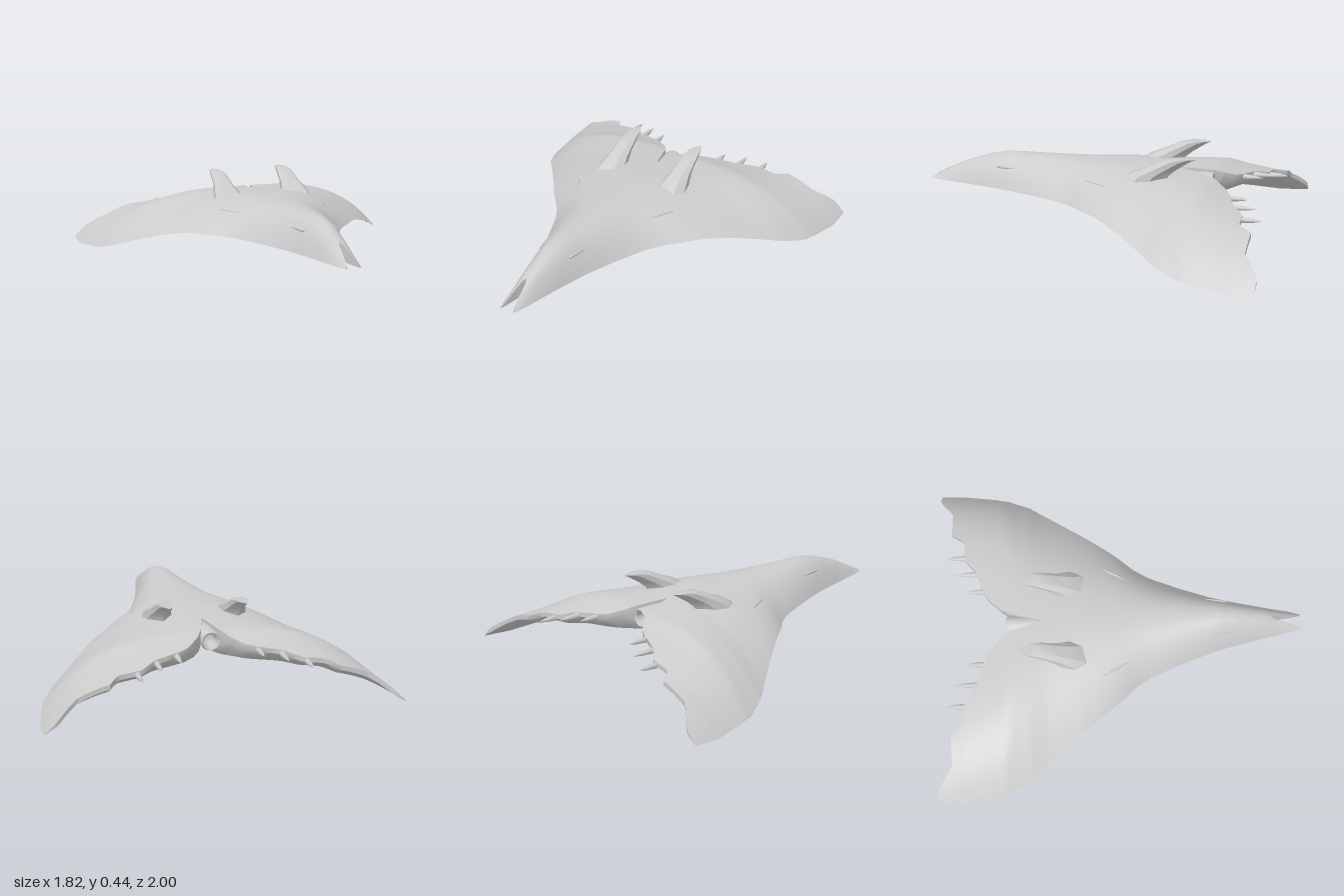
import * as THREE from 'three';
import { toCreasedNormals, mergeVertices } from 'three/addons/utils/BufferGeometryUtils.js';

const material = new THREE.MeshStandardMaterial({ color: 0xcccccc, side: THREE.DoubleSide });

// Linear interpolation through [key, value] pairs with rising keys
function interp(pts, k) {
  if (k <= pts[0][0]) return pts[0][1];
  for (let i = 1; i < pts.length; i++) {
    const [k0, v0] = pts[i - 1], [k1, v1] = pts[i];
    if (k <= k1) return v0 + (v1 - v0) * (k - k0) / (k1 - k0);
  }
  return pts[pts.length - 1][1];
}

// Planform: leading and trailing edge as z over half span x
const leading = [[0, 0.83], [0.012, 0.85], [0.022, 0.93], [0.032, 0.99], [0.042, 1], [0.06, 0.94], [0.1, 0.75], [0.15, 0.54],
  [0.22, 0.34], [0.29, 0.17], [0.34, 0.09], [0.42, 0], [0.55, -0.17], [0.68, -0.34], [0.8, -0.49], [0.87, -0.63], [0.905, -0.83], [0.912, -0.87]];
const trailing = [[0, -0.42], [0.05, -0.59], [0.08, -0.64], [0.15, -0.71], [0.2, -0.735], [0.33, -0.78], [0.41, -0.845],
  [0.53, -0.85], [0.58, -0.92], [0.74, -0.92], [0.85, -1], [0.912, -1]];
const halfWidth = leading.slice(4).map(([x, z]) => [z, x]).reverse();

// Heights over z: centre ridge, outer edge, and roundness of the top
const ridge = [[-1, 0.22], [-0.85, 0.245], [-0.7, 0.29], [-0.6, 0.33], [-0.45, 0.345], [-0.2, 0.365], [0.55, 0.365],
  [0.65, 0.345], [0.8, 0.295], [0.95, 0.225], [1, 0.205]];
const edge = [[-1, 0.012], [-0.85, 0.002], [-0.6, 0.027], [-0.47, 0.065], [-0.34, 0.115], [-0.22, 0.155], [-0.12, 0.178], [-0.05, 0.185]];
const roundness = [[-0.95, 5], [-0.4, 2.5], [-0.2, 2.2]];

const spread = (x, z) => Math.min(1, x / interp(halfWidth, z));
function topY(x, z) {
  const e = interp(edge, z);
  return e + (interp(ridge, z) - e) * (1 - spread(x, z) ** interp(roundness, z));
}
function bottomY(x, z) {
  const e = interp(edge, z);
  const flat = e + (0.185 - e) * (1 - spread(x, z) ** 3.5);
  // the underside climbs to a thin rear lip
  const lip = topY(x, z) - 0.025 - 0.1 * Math.max(0, 1 - x / 0.1);
  const k = Math.max(0, 1 - (z - interp(trailing, x)) / 0.09);
  return Math.min(topY(x, z), flat + (Math.max(flat, lip) - flat) * k * k);
}

// Skin a list of closed rings of equal length
function skin(rings, capEnds) {
  const n = rings[0].length, index = [];
  for (let i = 0; i < rings.length - 1; i++) {
    for (let j = 0; j < n; j++) {
      const a = i * n + j, b = i * n + (j + 1) % n, c = b + n, d = a + n;
      index.push(a, d, c, a, c, b);
    }
  }
  if (capEnds) {
    const last = (rings.length - 1) * n;
    for (let j = 1; j < n - 1; j++) index.push(last, last + j + 1, last + j);
  }
  const g = new THREE.BufferGeometry();
  g.setAttribute('position', new THREE.Float32BufferAttribute(rings.flat(2), 3));
  g.setIndex(index);
  return g;
}

function hullGeometry() {
  const half = [0, 0.012, 0.022, 0.032, 0.042, 0.05, 0.06, 0.08];
  for (let x = 0.1; x < 0.9; x += 0.02) half.push(x);
  half.push(0.905, 0.912);
  const xs = [...half.slice(1).reverse().map(x => -x), ...half];
  const steps = 40;
  const rings = xs.map(sx => {
    const x = Math.abs(sx), z0 = interp(leading, x), z1 = interp(trailing, x);
    const upper = [], lower = [];
    for (let i = 0; i <= steps; i++) {
      const z = z0 + (z1 - z0) * i / steps;
      upper.push([sx, topY(x, z), z]);
      lower.unshift([sx, bottomY(x, z), z]);
    }
    return [...upper, ...lower];
  });
  return toCreasedNormals(mergeVertices(skin(rings), 1e-4), 0.7);
}

// Swept fin: stacked sections given as height, front z, rear z, half width
function finGeometry() {
  const sections = [[0.28, -0.13, -0.38, 0.09], [0.35, -0.2, -0.41, 0.075], [0.385, -0.28, -0.45, 0.055],
    [0.435, -0.385, -0.525, 0.043], [0.448, -0.44, -0.555, 0.034]];
  const outline = [[0.6, 0], [1, 0.3], [0.8, 0.65], [0, 1], [-0.8, 0.65], [-1, 0.3], [-0.6, 0]];
  const rings = sections.map(([y, front, rear, w]) => outline.map(([u, t]) => [u * w, y, front + (rear - front) * t]));
  return toCreasedNormals(skin(rings, true), 0.5);
}

export function createModel() {
  const model = new THREE.Group();
  const add = (name, geometry, x = 0, y = 0, z = 0) => {
    const mesh = new THREE.Mesh(geometry, material);
    mesh.name = name;
    mesh.position.set(x, y, z);
    model.add(mesh);
    return mesh;
  };

  add('hull', hullGeometry());

  // Hollow tail nozzle
  const profile = [[0.042, 0], [0.05, 0.12], [0.052, 0.27], [0.046, 0.285], [0.036, 0.28], [0.03, 0.2], [0, 0.19]]
    .map(p => new THREE.Vector2(...p));
  add('tailNozzle', toCreasedNormals(new THREE.LatheGeometry(profile, 16).rotateX(-Math.PI / 2), 0.7), 0, 0.28, -0.325);

  const fin = finGeometry();
  const spikeProfile = [[0, -0.06], [0.014, -0.03], [0.016, 0.01], [0.011, 0.06], [0, 0.105]].map(p => new THREE.Vector2(...p));
  const spike = new THREE.LatheGeometry(spikeProfile, 8).rotateX(-Math.PI / 2);
  const brow = new THREE.SphereGeometry(1, 10, 6).scale(0.007, 0.009, 0.08);

  for (const side of [-1, 1]) {
    const label = side > 0 ? 'left' : 'right';
    add(label + 'Fin', fin, side * 0.2);

    // Row of spikes along the trailing edge
    [[0.21, 1], [0.32, 1.2], [0.43, 1]].forEach(([x, length], i) => {
      const z = interp(trailing, x);
      add(label + 'Spike' + (i + 1), spike, side * x, topY(x, z) - 0.018, z).scale.z = length;
    });

    // Slim ridges beside the nose and on the shoulders
    for (const [name, x, z, turn, tilt] of [['Brow', 0.1, 0.52, -0.15, 0], ['Shoulder', 0.27, -0.02, -0.5, 0]]) {
      const ridgeMesh = add(label + name + 'Ridge', brow, side * x, topY(x, z) - 0.003, z);
      ridgeMesh.rotation.set(tilt, side * turn, 0);
    }
  }
  return model;
}
